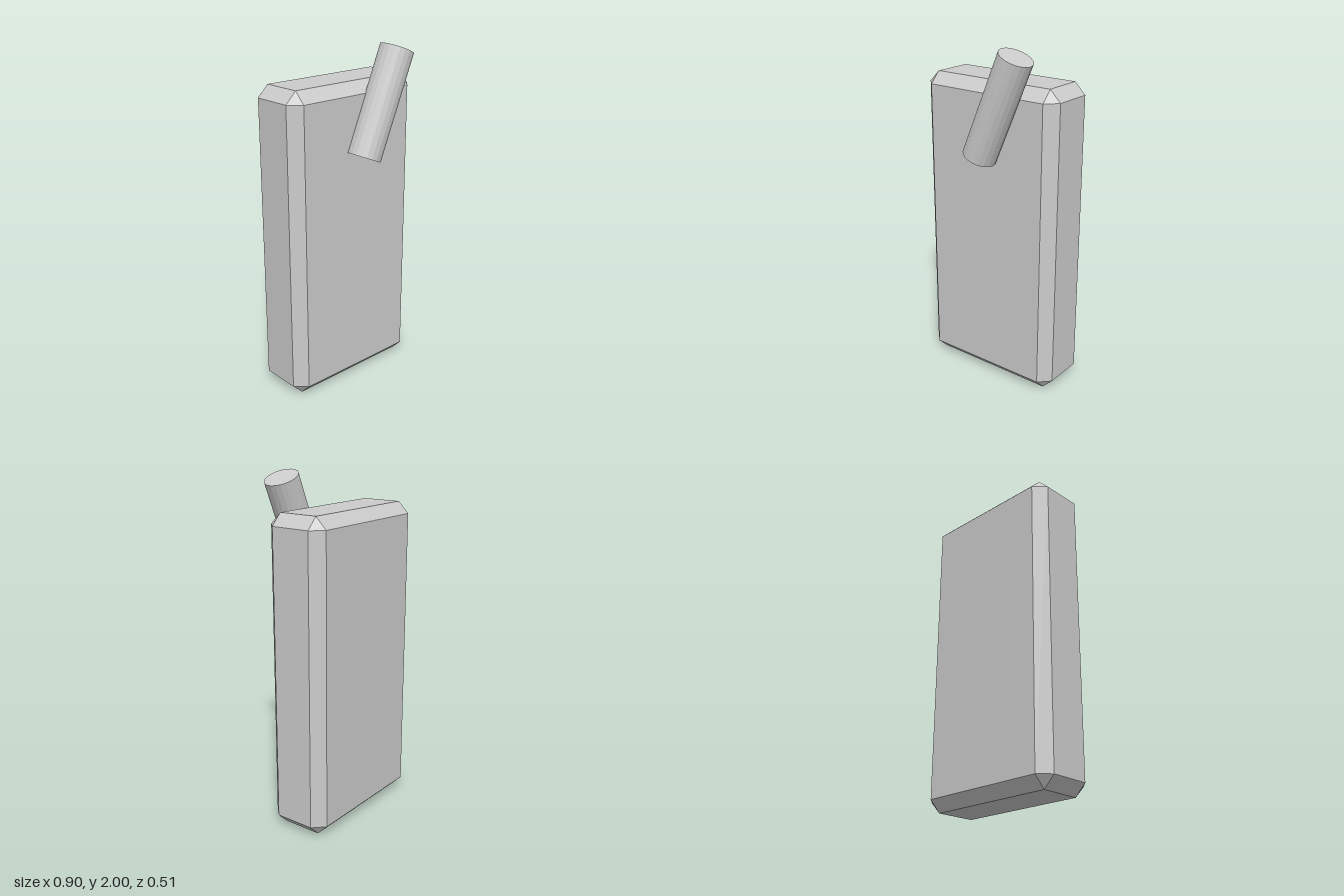
import * as THREE from 'three';
import { ConvexGeometry } from 'three/addons/geometries/ConvexGeometry.js';

const material = new THREE.MeshStandardMaterial({ color: 0xcccccc, flatShading: true });

// Box with equal 45 degree bevels on every edge and triangular corners
function chamferedBox(width, height, depth, bevel) {
  const half = [width / 2, height / 2, depth / 2];
  const points = [];
  for (const sx of [-1, 1]) for (const sy of [-1, 1]) for (const sz of [-1, 1]) {
    for (let axis = 0; axis < 3; axis++) {
      // each corner is cut into three points, one on each adjoining face
      const p = half.map((h, i) => (i === axis ? h : h - bevel));
      points.push(new THREE.Vector3(p[0] * sx, p[1] * sy, p[2] * sz));
    }
  }
  return new ConvexGeometry(points);
}

export function createModel() {
  const model = new THREE.Group();
  model.name = 'slabWithRod';

  // Upright slab, set back behind the rod
  const body = new THREE.Mesh(chamferedBox(0.896, 1.8, 0.366, 0.065), material);
  body.name = 'body';
  body.position.set(0, 0.9, -0.071);
  model.add(body);

  // Slanted rod resting against the upper front face
  const rod = new THREE.Mesh(new THREE.CylinderGeometry(0.097, 0.097, 0.62, 20), material);
  rod.name = 'rod';
  rod.position.set(0.122, 1.677, 0.157);
  rod.rotation.z = -THREE.MathUtils.degToRad(23.1);
  model.add(rod);

  return model;
}
